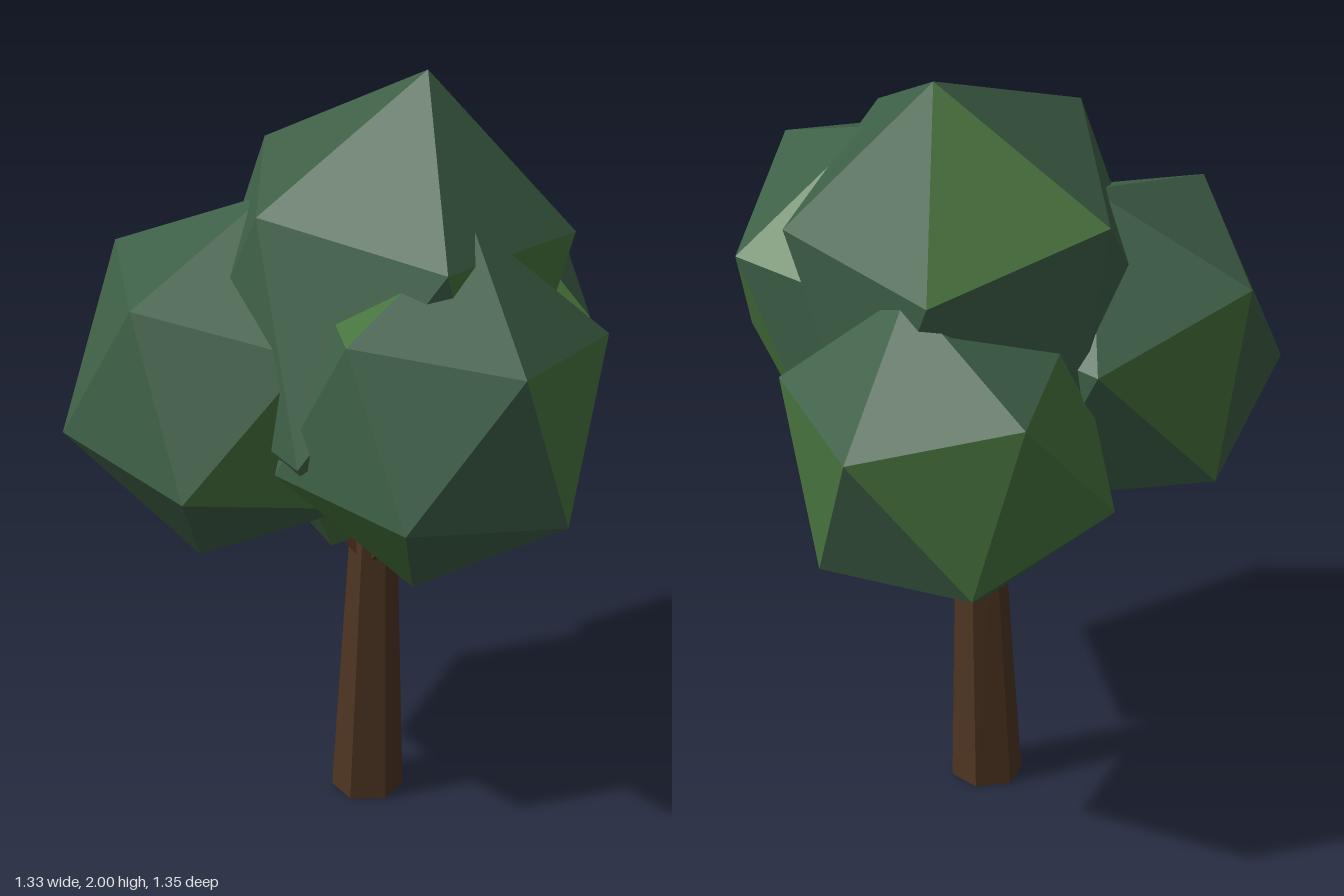
import * as THREE from 'three';

const V = (p) => new THREE.Vector3(...p);

// Faceted look: every triangle keeps its own normal
function faceted(geometry) {
  const g = geometry.index ? geometry.toNonIndexed() : geometry;
  g.computeVertexNormals();
  return g;
}

// Icosahedron stretched and turned so its first face has the given corners (relative to its
// centre, counter-clockwise). Faces nearest to the accent directions get the second material.
function leafClump({ name, centre, face, accents }, materials) {
  const g = new THREE.IcosahedronGeometry(1, 0);
  const pos = g.attributes.position;
  const corner = (i) => new THREE.Vector3().fromBufferAttribute(pos, i);
  const from = new THREE.Matrix4().makeBasis(corner(0), corner(1), corner(2)).invert();
  const to = new THREE.Matrix4().makeBasis(...face.map(V));
  g.applyMatrix4(to.multiply(from));

  const count = pos.count / 3;
  const directions = [];
  for (let f = 0; f < count; f++) {
    directions.push(corner(f * 3).add(corner(f * 3 + 1)).add(corner(f * 3 + 2)).normalize());
  }
  const accented = new Set(accents.map((a) => {
    const scores = directions.map((d) => d.dot(V(a)));
    return scores.indexOf(Math.max(...scores));
  }));
  g.clearGroups();
  for (let f = 0; f < count; f++) g.addGroup(f * 3, 3, accented.has(f) ? 1 : 0);

  const mesh = new THREE.Mesh(faceted(g), materials);
  mesh.name = name;
  mesh.position.set(...centre);
  return mesh;
}

// Tapered limb between two points
function limb(name, start, end, r0, r1, sides, material) {
  const a = V(start), b = V(end), axis = b.clone().sub(a);
  const g = new THREE.CylinderGeometry(r1, r0, axis.length(), sides);
  g.applyQuaternion(new THREE.Quaternion().setFromUnitVectors(new THREE.Vector3(0, 1, 0), axis.normalize()));
  const mesh = new THREE.Mesh(faceted(g), material);
  mesh.name = name;
  mesh.position.copy(a.add(b).multiplyScalar(0.5));
  return mesh;
}

const CLUMPS = [
  {
    name: 'topLeafClump', centre: [0.02, 1.37, 0.067],
    face: [[0.06, 0.63, -0.135], [-0.4, 0.3, -0.14], [-0.17, 0.38, 0.32]],
    accents: [[-0.38, 1.12, -0.76], [1.15, 0.24, 0.16], [0.38, -1.12, 0.76]],
  },
  {
    name: 'leftLeafClump', centre: [0.284, 1.258, 0.23],
    face: [[0.333, 0.257, 0.17], [0.376, -0.223, 0.04], [0.313, 0.147, -0.28]],
    accents: [[1.02, 0.18, -0.07], [0.78, -0.38, -0.56], [0.2, 0.73, -0.78], [-0.45, 0.98, 0.19], [-0.2, -0.73, 0.78]],
  },
  {
    name: 'rightLeafClump', centre: [-0.291, 1.182, 0.245],
    face: [[-0.374, 0.235, -0.077], [-0.337, -0.13, 0.255], [-0.12, 0.31, 0.31]],
    accents: [[-0.78, 0.12, -0.7], [0.78, -0.12, 0.7]],
  },
  {
    name: 'backLeafClump', centre: [-0.02, 1.1, -0.263],
    face: [[0.13, 0.137, -0.414], [-0.175, -0.235, -0.332], [-0.286, 0.22, -0.247]],
    accents: [[0.8, 0, -0.69], [0.67, 0.84, 0.2], [-0.96, 0.36, 0.02], [-0.33, 0.12, -0.99], [-0.88, -0.16, -0.52], [0.08, -0.81, 0.74]],
  },
];

export function createModel() {
  const material = (name, color) => Object.assign(new THREE.MeshStandardMaterial({ color }), { name });
  const bark = material('bark', 0x4f3522);
  const leaf = material('leafGreen', 0x3f6148);
  const brightLeaf = material('brightLeafGreen', 0x48753e);

  const tree = new THREE.Group();
  tree.name = 'tree';

  // Trunk: hexagonal, leaning slightly; its foot is flattened onto the ground
  const trunk = limb('trunk', [-0.011, 0, 0.075], [0.015, 0.74, 0.09], 0.086, 0.058, 6, bark);
  const p = trunk.geometry.attributes.position;
  for (let i = 0; i < p.count; i++) if (p.getY(i) < 0) p.setY(i, -trunk.position.y);
  trunk.geometry.computeVertexNormals();
  tree.add(trunk);

  // Branches: one forking out to each lower clump
  const forks = {
    leftBranch: [[0.03, 0.68, 0.1], [0.17, 0.95, 0.17]],
    rightBranch: [[0.0, 0.68, 0.1], [-0.13, 0.95, 0.17]],
    backBranch: [[0.015, 0.68, 0.06], [0.0, 0.9, -0.11]],
  };
  for (const [name, [a, b]] of Object.entries(forks)) tree.add(limb(name, a, b, 0.034, 0.026, 5, bark));

  // Crown
  const crown = new THREE.Group();
  crown.name = 'crown';
  for (const clump of CLUMPS) crown.add(leafClump(clump, [leaf, brightLeaf]));
  tree.add(crown);
  return tree;
}
